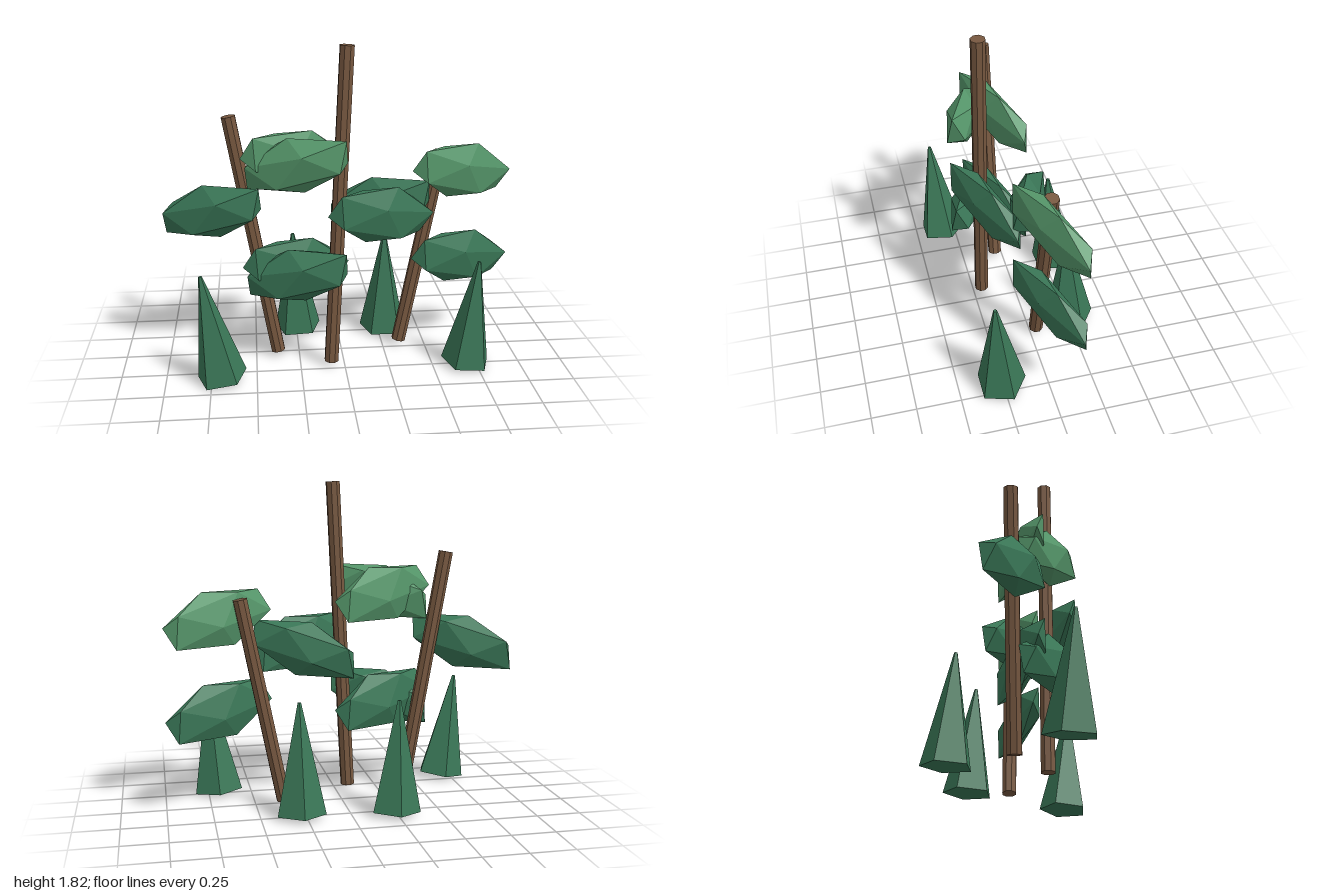
import * as THREE from 'three';

const V = (x, y, z) => new THREE.Vector3(x, y, z);
const mat = (color) => new THREE.MeshStandardMaterial({ color, flatShading: true });

export function createModel() {
  const group = new THREE.Group();
  const bark = mat(0x775840);
  const darkLeaf = mat(0x3a7757);
  const lightLeaf = mat(0x55966a);

  const add = (name, geometry, material) => {
    const mesh = new THREE.Mesh(geometry, material);
    mesh.name = name;
    group.add(mesh);
    return mesh;
  };

  // Leaning trunks: bottom and top centres
  const trunks = [
    [V(-0.373, 0.033, 0.045), V(-0.62, 1.425, 0.045)],
    [V(-0.075, 0.027, 0.2), V(0.012, 1.822, 0.2)],
    [V(0.345, 0.033, -0.035), V(0.575, 1.185, -0.042)],
  ];
  for (const [a, b] of trunks) {
    const axis = b.clone().sub(a);
    const geometry = new THREE.CylinderGeometry(0.041, 0.041, axis.length(), 8).rotateY(Math.PI / 8);
    const trunk = add('trunk', geometry, bark);
    trunk.position.copy(a).add(b).multiplyScalar(0.5);
    trunk.quaternion.setFromUnitVectors(V(0, 1, 0), axis.normalize());
  }

  // Skewed leaf clumps: an icosahedron stretched along three slanted axes
  const clump = (across, up, along) => {
    const g = new THREE.IcosahedronGeometry(1, 0);
    g.applyMatrix4(new THREE.Matrix4().makeBasis(across, up, along));
    g.computeVertexNormals();
    return g;
  };
  const rising = clump(V(0.145, -0.025, -0.03), V(0.035, 0.16, -0.024), V(0.286, 0.084, 0.16));
  const falling = clump(V(0.193, 0.006, -0.026), V(-0.012, 0.172, -0.003), V(-0.267, 0.066, 0.166));

  const clumps = [
    [rising, darkLeaf, -0.728, 0.896, 0.065],
    [rising, lightLeaf, -0.265, 1.188, 0.225],
    [falling, lightLeaf, -0.258, 1.19, 0.07],
    [rising, darkLeaf, -0.265, 0.563, 0.225],
    [falling, darkLeaf, -0.258, 0.57, 0.07],
    [falling, darkLeaf, 0.203, 0.9, 0.225],
    [rising, darkLeaf, 0.22, 0.896, -0.015],
    [falling, lightLeaf, 0.692, 1.078, -0.007],
    [falling, darkLeaf, 0.692, 0.563, -0.007],
  ];
  for (const [geometry, material, x, y, z] of clumps) {
    add('leafClump', geometry, material).position.set(x, y, z);
  }

  // Five-sided bushes at ground level: base centre and sideways lean
  const bush = new THREE.CylinderGeometry(0.01, 0.142, 0.618, 5);
  bush.rotateY(Math.PI).translate(0, 0.309, 0);
  const bushes = [
    [-0.692, 0.332, 0.155],
    [-0.24, -0.309, 0.045],
    [0.28, -0.26, 0],
    [0.692, 0.261, -0.075],
  ];
  for (const [x, z, lean] of bushes) {
    const mesh = add('bush', bush, darkLeaf);
    mesh.position.set(x, 0.02, z);
    mesh.rotation.set(0.06, 0, lean);
  }

  return group;
}
